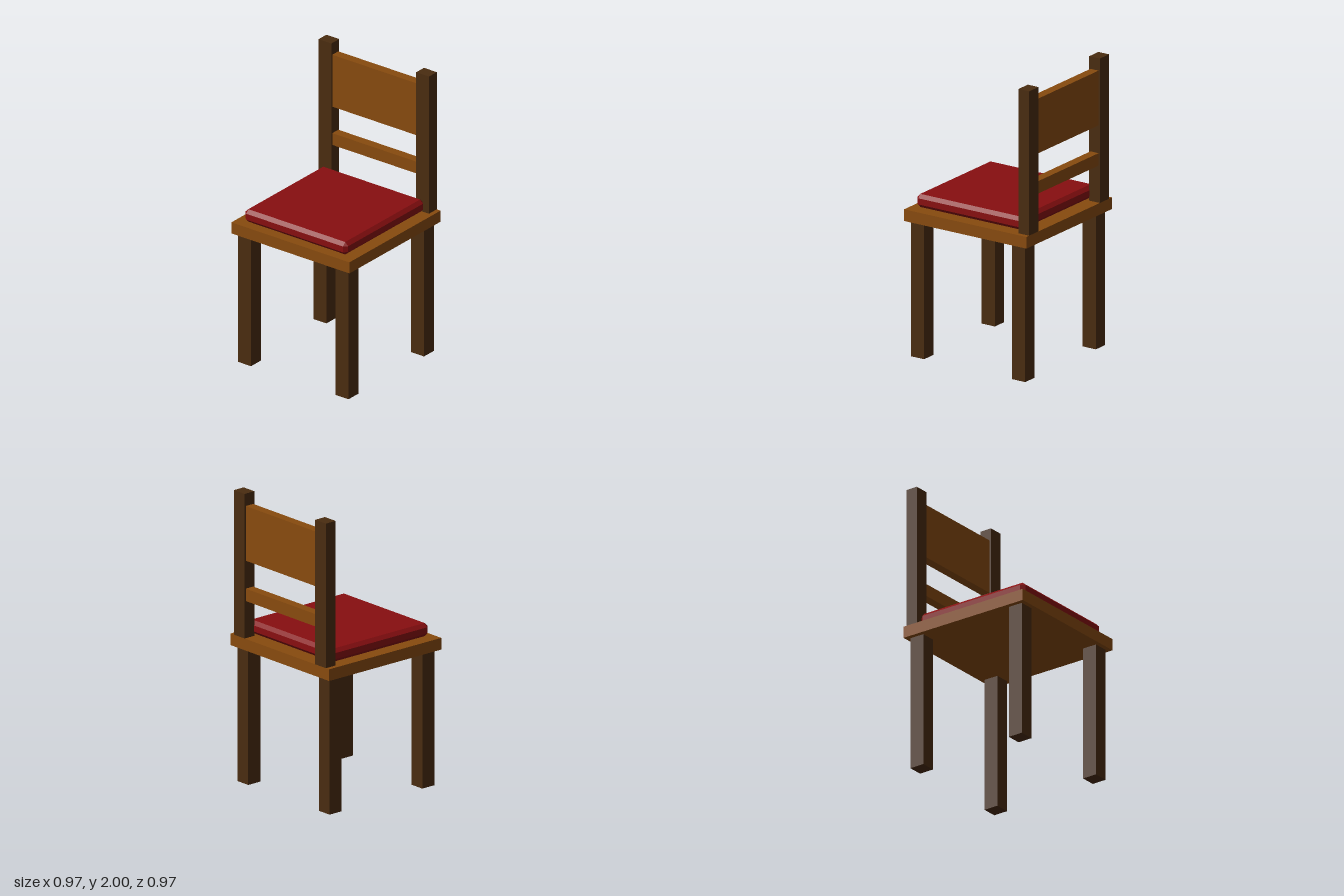
import * as THREE from 'three';
import { ConvexGeometry } from 'three/addons/geometries/ConvexGeometry.js';

const material = (name, color) => {
  const m = new THREE.MeshStandardMaterial({ color });
  m.name = name;
  return m;
};

// Box with every edge and corner cut off by c
function chamferedBox(w, h, d, c) {
  const half = [w / 2, h / 2, d / 2];
  const points = [];
  for (const sx of [-1, 1]) for (const sy of [-1, 1]) for (const sz of [-1, 1]) {
    for (let axis = 0; axis < 3; axis++) {
      const [x, y, z] = half.map((v, i) => (i === axis ? v : v - c));
      points.push(new THREE.Vector3(sx * x, sy * y, sz * z));
    }
  }
  return new ConvexGeometry(points);
}

export function createModel() {
  const chair = new THREE.Group();
  chair.name = 'chair';
  const darkWood = material('dark wood', 0x4a2c10);
  const wood = material('warm wood', 0x884b0e);
  const red = material('red fabric', 0x880e10);

  const add = (name, geometry, mat, x, y, z) => {
    const mesh = new THREE.Mesh(geometry, mat);
    mesh.name = name;
    mesh.position.set(x, y, z);
    chair.add(mesh);
  };
  const box = (name, mat, w, h, d, x, y, z) =>
    add(name, new THREE.BoxGeometry(w, h, d), mat, x, y, z);

  // Seat board and cushion
  box('seat', wood, 0.968, 0.08, 0.968, 0, 0.97, 0);
  add('cushion', chamferedBox(0.842, 0.09, 0.842, 0.024), red, 0, 1.06, 0.019);

  // Legs and back posts, mirrored left and right
  for (const [side, s] of [['left', 1], ['right', -1]]) {
    box(side + 'FrontLeg', darkWood, 0.105, 0.93, 0.105, s * 0.4, 0.465, 0.4);
    box(side + 'BackLeg', darkWood, 0.105, 0.93, 0.105, s * 0.4, 0.465, -0.4);
    box(side + 'BackPost', darkWood, 0.105, 0.99, 0.084, s * 0.4, 1.505, -0.442);
  }

  // Backrest panel and lower rail
  box('backPanel', wood, 0.696, 0.375, 0.064, 0, 1.728, -0.442);
  box('backRail', wood, 0.696, 0.085, 0.064, 0, 1.307, -0.442);

  return chair;
}
